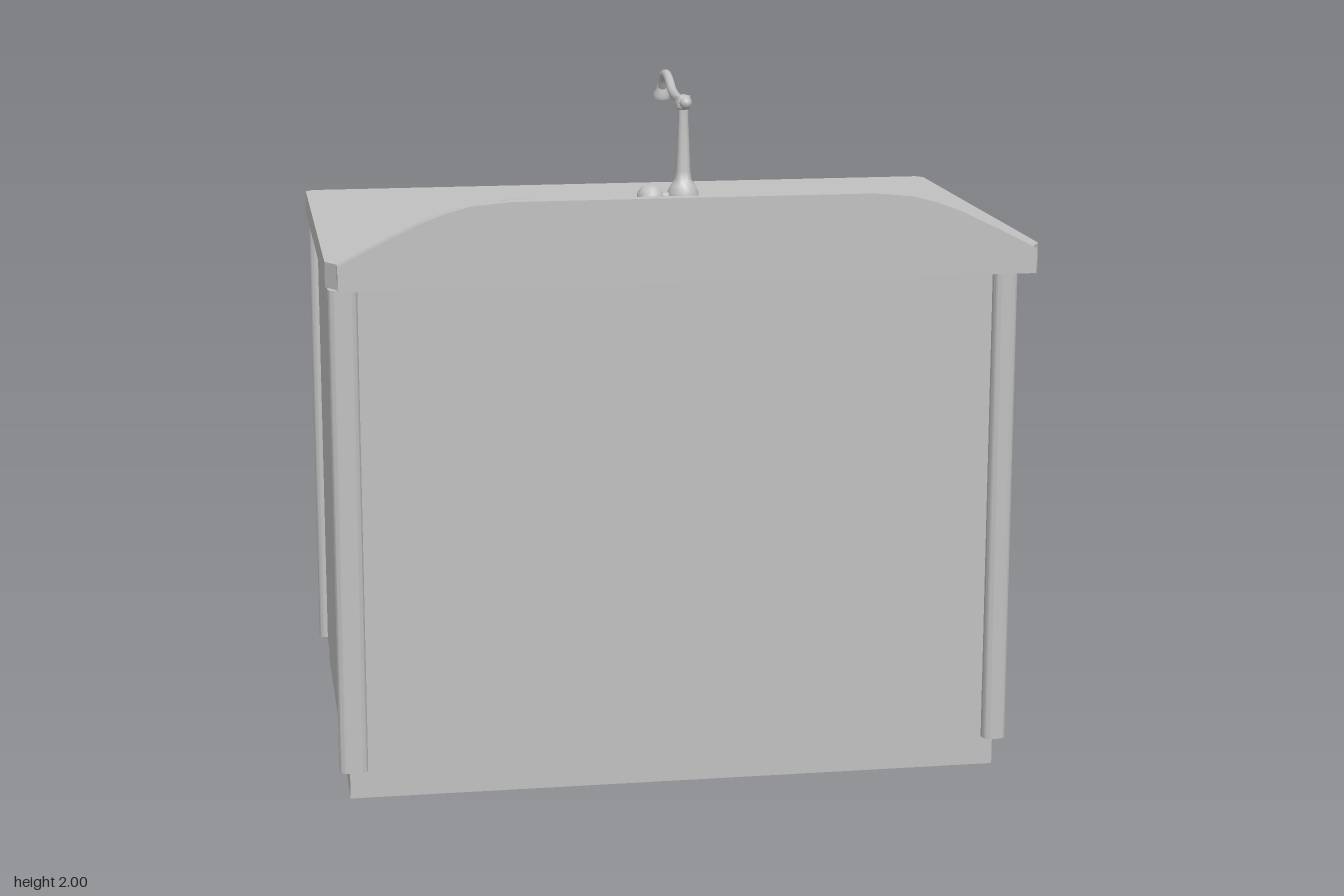
import * as THREE from 'three';
import { toCreasedNormals } from 'three/addons/utils/BufferGeometryUtils.js';

const grey = new THREE.MeshStandardMaterial({ color: 0xc0c0c0, side: THREE.DoubleSide });
grey.name = 'grey';

const V = (x, y, z) => new THREE.Vector3(x, y, z);

function add(parent, name, geometry, x = 0, y = 0, z = 0) {
  const mesh = new THREE.Mesh(geometry, grey);
  mesh.name = name;
  mesh.position.set(x, y, z);
  parent.add(mesh);
  return mesh;
}

// box given by its limits
function box(parent, name, x0, x1, y0, y1, z0, z1) {
  return add(parent, name, new THREE.BoxGeometry(x1 - x0, y1 - y0, z1 - z0),
    (x0 + x1) / 2, (y0 + y1) / 2, (z0 + z1) / 2);
}

const outline = (Type, pts) => new Type(pts.map(([x, z]) => new THREE.Vector2(x, -z)));

// horizontal slab with a plan outline in (x, z)
function slab(shape, y0, y1) {
  const g = new THREE.ExtrudeGeometry(shape, { depth: y1 - y0, bevelEnabled: false, curveSegments: 6 });
  return g.rotateX(-Math.PI / 2).translate(0, y0, 0);
}

function lathe(profile, segments = 16) {
  const g = new THREE.LatheGeometry(profile.map(([r, y]) => new THREE.Vector2(r, y)), segments);
  return toCreasedNormals(g, 0.8);
}

// surface through rings of equal length, closed by a centre point
function loft(rings, centre) {
  const n = rings[0].length, pos = [], index = [];
  rings.forEach(ring => ring.forEach(p => pos.push(p.x, p.y, p.z)));
  pos.push(centre.x, centre.y, centre.z);
  const last = rings.length * n;
  for (let r = 0; r < rings.length; r++) {
    for (let i = 0; i < n; i++) {
      const j = (i + 1) % n, a = r * n + i, b = r * n + j;
      if (r === rings.length - 1) index.push(a, last, b);
      else index.push(a, a + n, b, b, a + n, b + n);
    }
  }
  const g = new THREE.BufferGeometry();
  g.setAttribute('position', new THREE.Float32BufferAttribute(pos, 3));
  g.setIndex(index);
  g.computeVertexNormals();
  return g;
}

// plan of the sink opening
const half = [[0.455, -0.345], [0.455, -0.017], [0.455, 0.32], [0.40, 0.38], [0.27, 0.40]];
const opening = [[0, -0.435], [0.27, -0.435], [0.40, -0.41], ...half, [0, 0.40],
  ...half.slice().reverse().map(([x, z]) => [-x, z]), [-0.40, -0.41], [-0.27, -0.435]];

function addWorktop(group) {
  const top = outline(THREE.Shape, [[-0.98, -0.71], [0.98, -0.71], [1, -0.685], [1, 0.62],
    [0.97, 0.67], [-0.97, 0.67], [-1, 0.62], [-1, -0.685]]);
  top.holes.push(outline(THREE.Path, opening));
  add(group, 'worktop', slab(top, 1.465, 1.535));

  // bowl narrowing to a rounded floor
  const steps = [[1.535, 1], [1.44, 0.96], [1.35, 0.91], [1.28, 0.84], [1.25, 0.75], [1.24, 0.62]];
  const cz = -0.0175;
  const rings = steps.map(([y, s]) => opening.map(([x, z]) => V(x * s, y, cz + (z - cz) * s)));
  add(group, 'sinkBowl', loft(rings, V(0, 1.235, cz)));

  // raised board with a curved top edge
  const edge = [[0.97, 1.535], [0.86, 1.592], [0.75, 1.645], [0.68, 1.671], [0.61, 1.69], [0.5, 1.70]];
  const board = new THREE.Shape([[-0.97, 1.465], [0.97, 1.465], ...edge,
    ...edge.slice().reverse().map(([x, y]) => [-x, y])].map(p => new THREE.Vector2(...p)));
  const g = new THREE.ExtrudeGeometry(board, { depth: 0.04, bevelEnabled: false });
  add(group, 'splashback', toCreasedNormals(g, 0.5), 0, 0, 0.67);
}

function addCabinet(group) {
  // open-bottomed plinth and thin walls
  const rect = (x0, x1, z0, z1) => [[x0, z0], [x1, z0], [x1, z1], [x0, z1]];
  const plinth = outline(THREE.Shape, rect(-0.965, 0.90, -0.645, 0.635));
  plinth.holes.push(outline(THREE.Path, rect(-0.945, 0.88, -0.625, 0.615)));
  add(group, 'plinth', slab(plinth, 0, 0.085));
  box(group, 'plainWall', -0.95, 0.885, 0.08, 1.465, 0.63, 0.645);
  box(group, 'drawerWall', -0.95, 0.885, 0.08, 1.465, -0.645, -0.63);
  box(group, 'leftWall', 0.89, 0.905, 0.08, 1.465, -0.635, 0.635);
  box(group, 'rightWall', -0.97, -0.955, 0.08, 1.465, -0.635, 0.635);

  // corner posts with rounded edges
  for (const [x0, x1] of [[-0.995, -0.915], [0.863, 0.93]]) {
    for (const [z0, z1] of [[-0.67, -0.608], [0.615, 0.68]]) {
      const r = 0.022, s = new THREE.Shape();
      s.absarc(x1 - r, -z0 - r, r, 0, Math.PI / 2);
      s.absarc(x0 + r, -z0 - r, r, Math.PI / 2, Math.PI);
      s.absarc(x0 + r, -z1 + r, r, Math.PI, Math.PI * 1.5);
      s.absarc(x1 - r, -z1 + r, r, Math.PI * 1.5, Math.PI * 2);
      add(group, 'cornerPost', toCreasedNormals(slab(s, 0.09, 1.465), 0.7));
    }
  }
}

function addHandle(group, x, y, z) {
  const handle = new THREE.Group();
  handle.name = 'handle';
  handle.position.set(x, y, z);
  handle.rotation.y = Math.PI;
  group.add(handle);
  // back plate with a pointed top
  const s = new THREE.Shape();
  s.moveTo(-0.065, 0);
  s.quadraticCurveTo(-0.06, 0.03, -0.025, 0.035);
  s.lineTo(0, 0.055);
  s.lineTo(0.025, 0.035);
  s.quadraticCurveTo(0.06, 0.03, 0.065, 0);
  s.quadraticCurveTo(0.05, -0.035, 0, -0.035);
  s.quadraticCurveTo(-0.05, -0.035, -0.065, 0);
  add(handle, 'handlePlate', new THREE.ExtrudeGeometry(s, { depth: 0.005, bevelEnabled: false, curveSegments: 5 }));
  // hanging oval pull on two knobs
  const pull = add(handle, 'handlePull', new THREE.TorusGeometry(0.036, 0.007, 6, 20), 0, -0.012, 0.012);
  pull.scale.set(1.6, 0.8, 1);
  for (const side of [-1, 1]) {
    add(handle, 'handleKnob', new THREE.SphereGeometry(0.011, 10, 8), side * 0.035, 0.012, 0.012);
  }
}

function addFronts(group) {
  // raised drawer front with sloping borders
  const rect = (x0, x1, y0, y1, z) => [V(x0, y0, z), V(x0, y1, z), V(x1, y1, z), V(x1, y0, z)];
  const front = loft([rect(-0.915, 0.863, 0.965, 1.27, -0.645), rect(-0.915, 0.863, 0.975, 1.245, -0.665),
    rect(-0.87, 0.82, 1.01, 1.18, -0.692)], V(-0.025, 1.095, -0.692));
  add(group, 'drawerFront', toCreasedNormals(front, 0.2));
  box(group, 'doorFront', -0.915, 0.863, 0.10, 0.945, -0.655, -0.645);
  for (const x of [-0.53, 0.48]) addHandle(group, x, 1.1, -0.691);
  for (const x of [-0.2, 0.14]) addHandle(group, x, 0.85, -0.655);
}

function addTap(group) {
  const tap = new THREE.Group();
  tap.name = 'tap';
  tap.position.set(0, 0, 0.53);
  group.add(tap);
  add(tap, 'tapBody', lathe([[0, 1.535], [0.037, 1.535], [0.037, 1.555], [0.03, 1.575], [0.029, 1.62],
    [0.036, 1.645], [0.044, 1.665], [0.044, 1.69], [0.034, 1.71], [0.024, 1.725], [0.021, 1.75],
    [0.015, 1.90], [0.015, 1.92], [0.023, 1.925], [0.025, 1.94], [0.02, 1.957], [0, 1.962]]));

  // swan-neck spout with a flared outlet
  const path = new THREE.CatmullRomCurve3([V(0, 1.942, 0.04), V(0, 1.942, 0), V(0, 1.941, -0.11),
    V(0, 1.95, -0.18), V(0, 1.975, -0.24), V(0, 1.986, -0.29), V(0, 1.975, -0.34), V(0, 1.94, -0.365)]);
  add(tap, 'spout', new THREE.TubeGeometry(path, 40, 0.013, 10));
  add(tap, 'spoutEndBall', new THREE.SphereGeometry(0.017, 12, 8), 0, 1.942, 0.042);
  const outlet = add(tap, 'spoutOutlet', lathe([[0, -0.02], [0.024, -0.02], [0.024, -0.008],
    [0.016, 0.005], [0.013, 0.025]], 12), 0, 1.93, -0.37);
  outlet.rotation.x = 0.25;

  // side control knob on a short stem
  const knob = add(tap, 'controlKnob', lathe([[0, 0.13], [0.022, 0.126], [0.037, 0.112], [0.041, 0.09],
    [0.036, 0.07], [0.02, 0.058], [0.018, 0.03], [0, 0]].reverse()), 0, 1.672, 0);
  knob.rotation.z = Math.PI / 2;
}

export function createModel() {
  const group = new THREE.Group();
  group.name = 'sinkCabinet';
  addWorktop(group);
  addCabinet(group);
  addFronts(group);
  addTap(group);
  return group;
}
